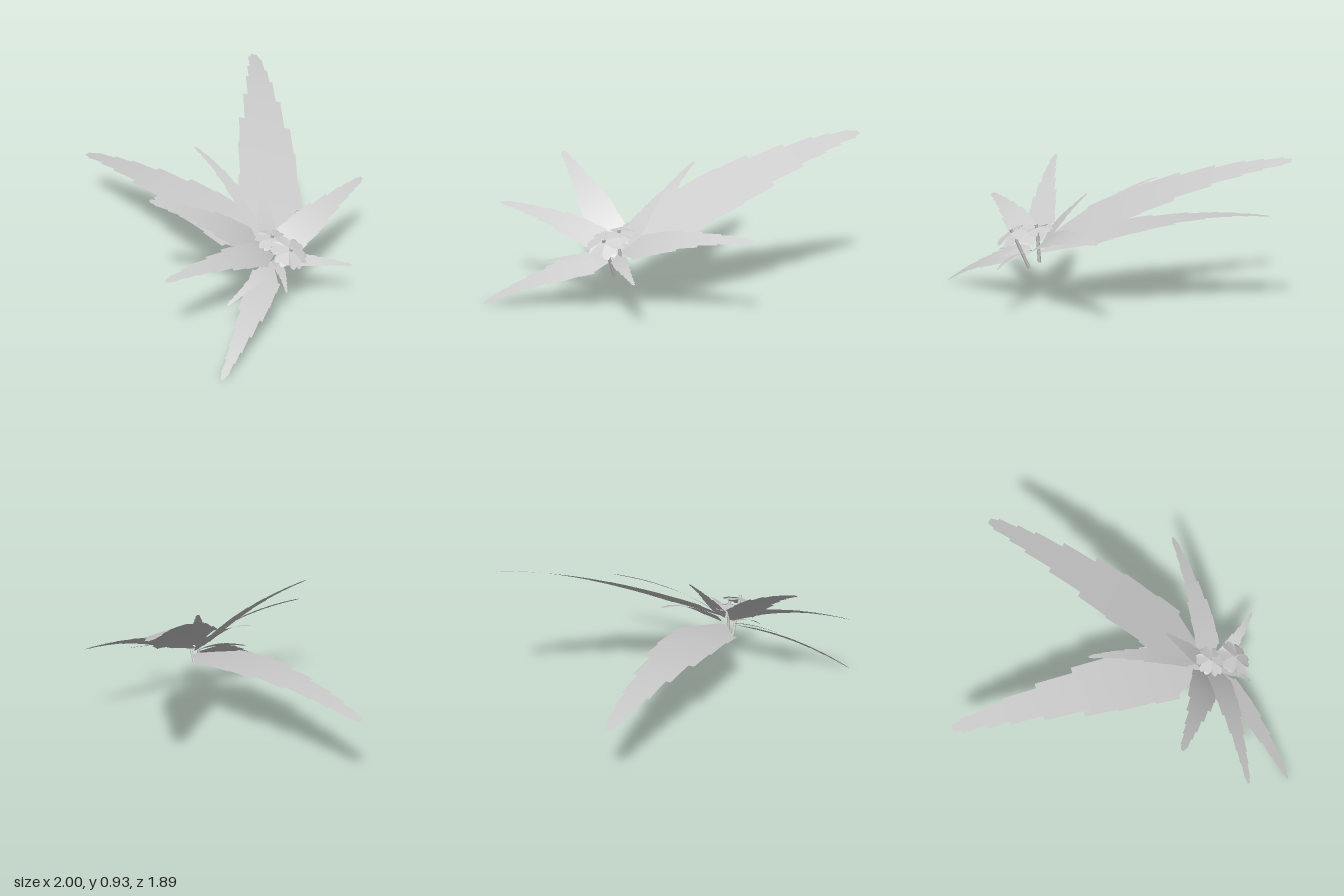
import * as THREE from 'three';

const V = (a) => new THREE.Vector3(...a);
const material = new THREE.MeshStandardMaterial({ color: 0xcccccc, side: THREE.DoubleSide });
const plantAxis = V([0.5, 0.86, 0]).normalize(); // the whole plant leans towards +x

// leaf outline: [start, end, half width at start, half width at end] of each tooth
const teeth = [
  [0, 0.14, 0.12, 0.85], [0.14, 0.235, 1, 1], [0.235, 0.38, 0.94, 0.96], [0.38, 0.506, 0.9, 0.86],
  [0.506, 0.654, 0.67, 0.64], [0.654, 0.784, 0.48, 0.46], [0.784, 0.87, 0.36, 0.35],
  [0.87, 0.963, 0.26, 0.24], [0.963, 1, 0.18, 0.1],
];

// saw-toothed blade along an arc through three points
function leaf(name, base, mid, tip, width) {
  const a = V(base), c = V(tip);
  const control = V(mid).multiplyScalar(2).addScaledVector(a, -0.5).addScaledVector(c, -0.5);
  const spine = new THREE.QuadraticBezierCurve3(a, control, c);
  const pos = [], nor = [], index = [];
  const ring = (t, half) => {
    const p = spine.getPoint(t), d = spine.getTangent(t);
    const side = new THREE.Vector3().crossVectors(plantAxis, d).normalize();
    const n = new THREE.Vector3().crossVectors(d, side);
    for (const s of [-1, 1]) {
      pos.push(...p.clone().addScaledVector(side, s * half * width).toArray());
      nor.push(...n.toArray());
    }
  };
  for (const [t0, t1, w0, w1] of teeth) {
    const steps = 2, first = pos.length / 3;
    for (let i = 0; i <= steps; i++) {
      const k = i / steps;
      ring(THREE.MathUtils.lerp(t0, t1, k), THREE.MathUtils.lerp(w0, w1, k));
      if (i < steps) {
        const o = first + i * 2;
        index.push(o, o + 1, o + 2, o + 1, o + 3, o + 2);
      }
    }
  }
  const g = new THREE.BufferGeometry();
  g.setAttribute('position', new THREE.Float32BufferAttribute(pos, 3));
  g.setAttribute('normal', new THREE.Float32BufferAttribute(nor, 3));
  g.setIndex(index);
  const mesh = new THREE.Mesh(g, material);
  mesh.name = name;
  return mesh;
}

// one notched petal lying flat along +z, drooping at the end
function petalGeometry(r) {
  const s = new THREE.Shape();
  s.moveTo(-0.1 * r, 0);
  s.lineTo(-0.36 * r, 0.6 * r);
  s.quadraticCurveTo(-0.4 * r, 0.95 * r, -0.14 * r, r);
  s.lineTo(0, 0.88 * r);
  s.lineTo(0.14 * r, r);
  s.quadraticCurveTo(0.4 * r, 0.95 * r, 0.36 * r, 0.6 * r);
  s.lineTo(0.1 * r, 0);
  const g = new THREE.ShapeGeometry(s, 4);
  g.rotateX(-Math.PI / 2).rotateY(Math.PI);
  const p = g.attributes.position;
  for (let i = 0; i < p.count; i++) p.setY(i, -0.25 * p.getZ(i) ** 2 / r);
  g.computeVertexNormals();
  return g;
}

// flower head with a ring of petals, a centre and a stem
function flower(name, head, normal, foot, r) {
  const group = new THREE.Group();
  group.name = name;
  const bloom = new THREE.Group();
  bloom.name = 'bloom';
  bloom.position.set(...head);
  bloom.quaternion.setFromUnitVectors(new THREE.Vector3(0, 1, 0), V(normal).normalize());
  const geometry = petalGeometry(r);
  for (let i = 0; i < 6; i++) {
    const petal = new THREE.Mesh(geometry, material);
    petal.name = 'petal';
    petal.rotation.y = i * Math.PI / 3 + 0.2;
    petal.position.y = (i % 2) * 0.006;
    bloom.add(petal);
  }
  const centre = new THREE.Mesh(new THREE.CylinderGeometry(0.01, 0.01, 0.03, 6), material);
  centre.name = 'flowerCentre';
  centre.position.y = 0.01;
  bloom.add(centre);
  const path = new THREE.LineCurve3(V(foot), V(head));
  const stem = new THREE.Mesh(new THREE.TubeGeometry(path, 1, 0.01, 6), material);
  stem.name = 'stem';
  group.add(bloom, stem);
  return group;
}

export function createModel() {
  const model = new THREE.Group();
  model.name = 'floweringPlant';

  // leaves: name, base, middle, tip, greatest half width
  const leaves = [
    ['largeBackLeaf', [0.6, 0.37, 0.08], [0.03, 0.735, -0.49], [-0.46, 0.912, -0.935], 0.2],
    ['largeSideLeaf', [0.62, 0.3, 0.09], [-0.2, 0.42, 0.085], [-1, 0.37, 0.083], 0.19],
    ['narrowSideLeaf', [0.6, 0.33, 0.08], [0.22, 0.58, 0.02], [-0.11, 0.71, -0.01], 0.055],
    ['shortSideLeaf', [0.6, 0.36, 0.1], [0.49, 0.52, 0.03], [0.38, 0.655, -0.05], 0.06],
    ['raisedFrontLeaf', [0.6, 0.35, 0.15], [0.45, 0.59, 0.41], [0.24, 0.78, 0.71], 0.1],
    ['frontLeaf', [0.65, 0.34, 0.13], [0.635, 0.47, 0.5], [0.59, 0.52, 0.94], 0.085],
    ['droopingFrontLeaf', [0.66, 0.29, 0.15], [0.81, 0.185, 0.5], [0.93, 0.0, 0.86], 0.09],
    ['backLeaf', [0.64, 0.33, 0.1], [0.66, 0.455, -0.27], [0.635, 0.5, -0.71], 0.095],
    ['outerLeaf', [0.66, 0.31, 0.12], [0.85, 0.315, -0.02], [1, 0.285, -0.165], 0.045],
    ['smallFrontLeaf', [0.66, 0.3, 0.13], [0.7, 0.285, 0.35], [0.7, 0.23, 0.57], 0.04],
    ['smallOuterLeaf', [0.66, 0.31, 0.13], [0.77, 0.29, 0.19], [0.86, 0.23, 0.25], 0.035],
  ];
  for (const spec of leaves) model.add(leaf(...spec));

  // the two flowers on their stems
  model.add(flower('upperFlower', [0.63, 0.44, 0.12], [0.25, 1, 0], [0.615, 0.23, 0.125], 0.1));
  model.add(flower('outerFlower', [0.78, 0.425, 0.135], [0.5, 0.87, 0], [0.68, 0.2, 0.13], 0.115));
  return model;
}
